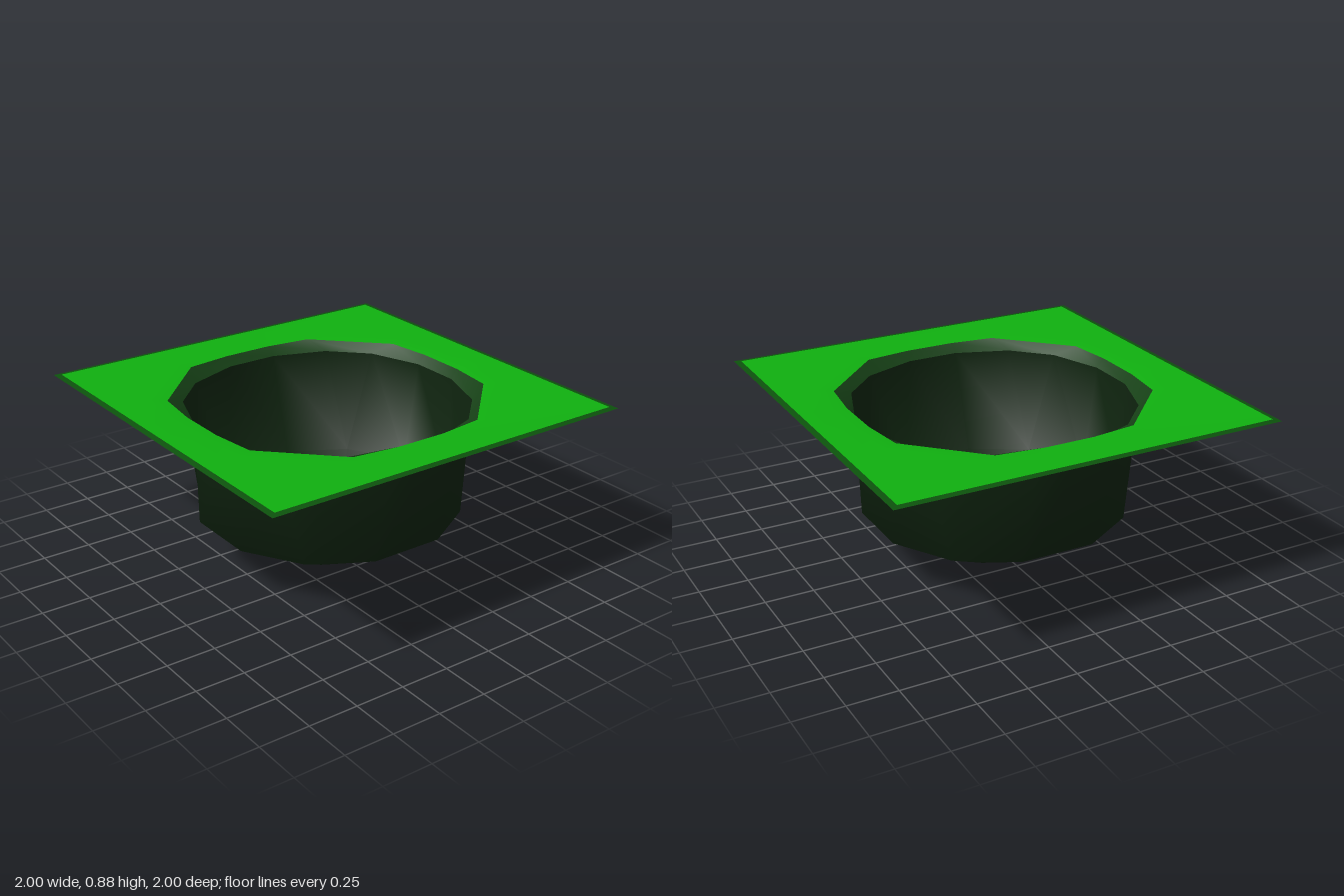
import * as THREE from 'three';
import { mergeVertices } from 'three/addons/utils/BufferGeometryUtils.js';

// 16-sided ring with four-fold symmetry: (r, s) lies near an axis, (u, v) near a diagonal
function ring(y, r, s, u, v) {
  const points = [];
  for (let q = 0; q < 4; q++) {
    for (let [x, z] of [[r, s], [u, v], [v, u], [s, r]]) {
      for (let k = 0; k < q; k++) [x, z] = [-z, x];
      points.push([x, y, z]);
    }
  }
  return points;
}

// Skin between neighbouring rings, listed from the centre outwards
function loft(name, color, rings) {
  const positions = [];
  for (let k = 0; k + 1 < rings.length; k++) {
    const a = rings[k], b = rings[k + 1];
    for (let i = 0; i < 16; i++) {
      const j = (i + 1) % 16;
      for (const [p, q, r] of [[a[i], a[j], b[i]], [a[j], b[j], b[i]]]) {
        const same = (m, n) => m.every((c, t) => Math.abs(c - n[t]) < 1e-6);
        if (same(p, q) || same(q, r) || same(r, p)) continue;
        positions.push(...p, ...q, ...r);
      }
    }
  }
  let geometry = new THREE.BufferGeometry();
  geometry.setAttribute('position', new THREE.Float32BufferAttribute(positions, 3));
  geometry = mergeVertices(geometry);
  geometry.computeVertexNormals();
  const material = new THREE.MeshStandardMaterial({ color, side: THREE.DoubleSide });
  const mesh = new THREE.Mesh(geometry, material);
  mesh.name = name;
  return mesh;
}

export function createModel() {
  const model = new THREE.Group();
  model.name = 'sunkenPit';

  // Shared seams between the parts
  const lipBottom = ring(0.82, 0.69, 0.135, 0.59, 0.41);
  const holeEdge = ring(0.865, 0.73, 0.13, 0.70, 0.367);
  const sheetEdge = ring(0.875, 0.97, 0.13, 0.97, 0.97);

  // Pit: small square floor, sloping base and near-vertical wall
  model.add(loft('pit', 0x0f240f, [
    ring(0, 0, 0, 0, 0),
    ring(0, 0.14, 0.14, 0.14, 0.14),
    ring(0.26, 0.65, 0.19, 0.48, 0.48),
    lipBottom,
  ]));

  // Flared lip joining the pit to the sheet
  model.add(loft('lip', 0x164016, [lipBottom, holeEdge]));

  // Square ground sheet, dipping slightly at the hole
  model.add(loft('groundSheet', 0x10b010, [
    holeEdge,
    ring(0.873, 0.81, 0.14, 0.77, 0.41),
    sheetEdge,
  ]));

  // Dark border strip around the sheet
  model.add(loft('border', 0x0c520c, [sheetEdge, ring(0.87, 1, 0.13, 1, 1)]));

  return model;
}
